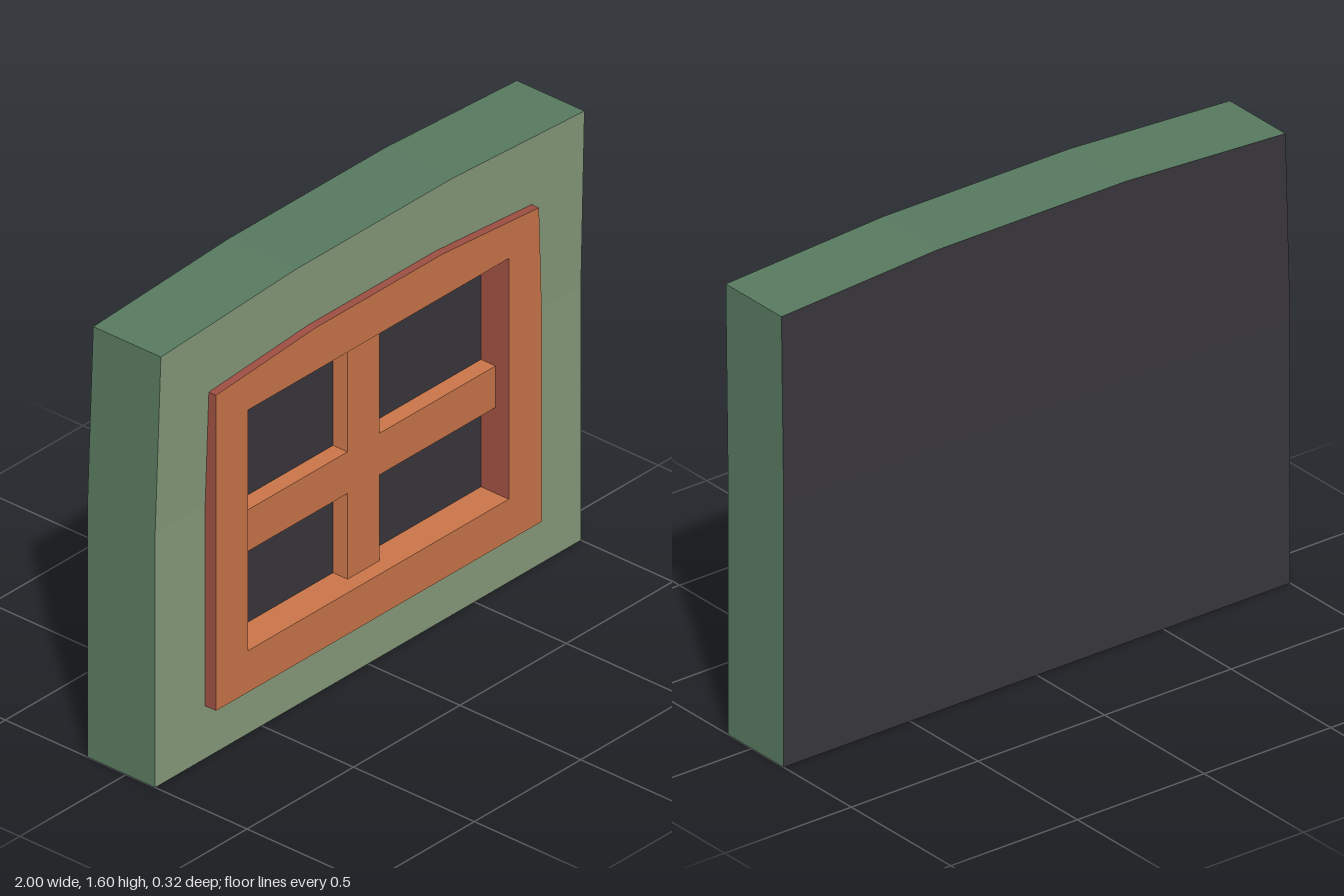
import * as THREE from 'three';

const mat = (name, color) => {
  const m = new THREE.MeshStandardMaterial({ color });
  m.name = name;
  return m;
};
const BEND = 0.92; // height where the wall starts to lean forward
const lean = y => Math.max(0, y - BEND) / 0.68 * 0.025;

// Flat panel from an outline (with optional hole); z may follow a rule
function panel(points, zAt, { hole, back } = {}) {
  const toV = p => p.map(([x, y]) => new THREE.Vector2(x, y));
  const shape = new THREE.Shape(toV(points));
  if (hole) shape.holes.push(new THREE.Path(toV(hole)));
  const g = new THREE.ShapeGeometry(shape);
  const pos = g.attributes.position;
  for (let i = 0; i < pos.count; i++) pos.setZ(i, zAt(pos.getY(i)));
  if (back) g.index.array.reverse();
  g.computeVertexNormals();
  return g;
}

// Band of flat quads along an outline, from z0 to z1 (counterclockwise faces outward)
function band(points, z0, z1, closed = true, bend = () => 0) {
  const v = [];
  const n = points.length;
  for (let i = 0; i < (closed ? n : n - 1); i++) {
    const a = points[i], b = points[(i + 1) % n];
    const at = ([x, y], z) => [x, y, z + bend(y)];
    const [p, q, r, s] = [at(a, z0), at(b, z0), at(b, z1), at(a, z1)];
    v.push(...p, ...q, ...r, ...p, ...r, ...s);
  }
  const g = new THREE.BufferGeometry();
  g.setAttribute('position', new THREE.Float32BufferAttribute(v, 3));
  g.computeVertexNormals();
  return g;
}

export function createModel() {
  const paleGreen = mat('paleGreen', 0x869a7a);
  const green = mat('green', 0x57785f);
  const orange = mat('orange', 0xc87449);
  const red = mat('red', 0x9c4e41);
  const dark = mat('dark', 0x38363c);

  const model = new THREE.Group();
  model.name = 'window';
  const add = (name, geometry, material, parent = model) => {
    const mesh = new THREE.Mesh(geometry, material);
    mesh.name = name;
    parent.add(mesh);
    return mesh;
  };

  // Wall block: upright below the bend, leaning forward above it
  const FRONT = 0.12, BACK = -0.16, FACE = 0.165, PANE = 0.05;
  const L = -0.615, R = 0.61, B = 0.34, T = 1.21; // window opening
  const arch = [[1, BEND], [0.99, 1.565], [0.37, 1.6], [-0.37, 1.6], [-1, 1.565], [-1, BEND]];
  const base = [[-1, BEND], [-1, 0], [1, 0], [1, BEND]];
  const frontZ = y => FRONT + lean(y), backZ = y => BACK + lean(y);
  const wall = new THREE.Group();
  wall.name = 'wall';
  model.add(wall);
  add('wallFrontLower', panel([...base, [R, BEND], [R, B], [L, B], [L, BEND]], frontZ), paleGreen, wall);
  add('wallFrontUpper', panel([...arch, [L, BEND], [L, T], [R, T], [R, BEND]], frontZ), paleGreen, wall);
  add('wallBackLower', panel(base, backZ, { back: true }), dark, wall);
  add('wallBackUpper', panel(arch, backZ, { back: true }), dark, wall);
  add('wallSides', band([[1, 0], ...arch, [-1, 0]], BACK, FRONT, false, lean), green, wall);
  add('wallBottom', band([[-1, 0], [1, 0]], BACK, FRONT, false), dark, wall);

  // Raised frame with a shallow arched head
  const frame = new THREE.Group();
  frame.name = 'frame';
  model.add(frame);
  const outline = [[-0.765, 0.19], [0.765, 0.19], [0.765, 0.95], [0.752, 1.33],
    [0.3, 1.365], [-0.3, 1.365], [-0.765, 1.33]];
  const opening = [[L, B], [L, T], [R, T], [R, B]];
  add('frameFace', panel(outline, () => FACE, { hole: opening }), orange, frame);
  add('frameEdge', band(outline, FRONT, FACE), red, frame);
  add('reveal', band(opening, PANE, FACE, false), red, frame);
  add('sill', band([[R, B], [L, B]], PANE, FACE, false), orange, frame);

  // Recessed dark pane and crossing bars
  add('pane', panel([[L, B], [R, B], [R, T], [L, T]], () => PANE), dark);
  const bar = (name, x0, x1, y0, y1) => {
    const depth = 0.06;
    add(name, new THREE.BoxGeometry(x1 - x0, y1 - y0, depth), orange)
      .position.set((x0 + x1) / 2, (y0 + y1) / 2, PANE + depth / 2);
  };
  bar('verticalBar', -0.085, 0.065, B, T);
  bar('horizontalBar', L, R, 0.65, 0.8);

  return model;
}
